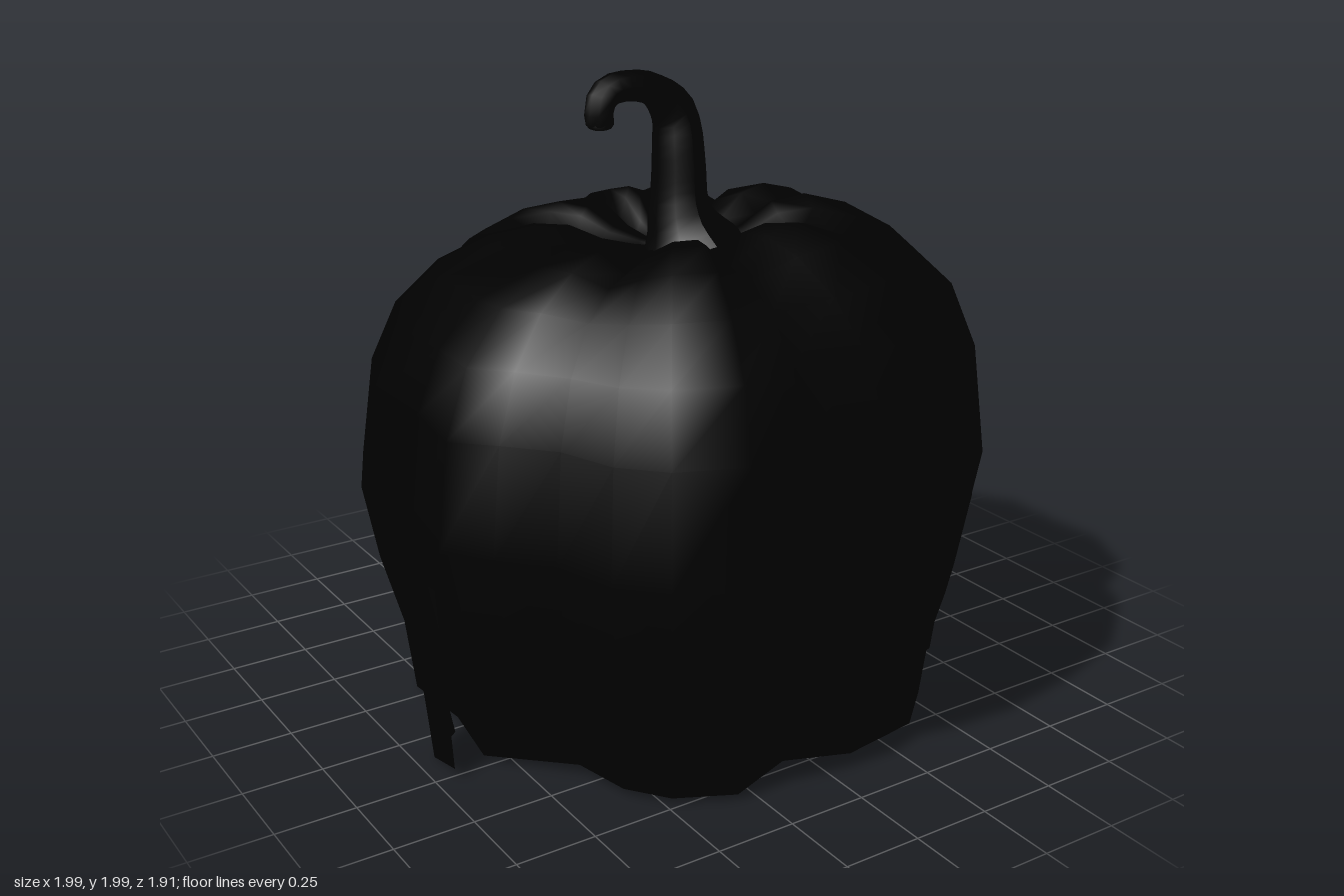
import * as THREE from 'three';

// Ribbed outline at the widest level: x, z, groove depth (1 = valley)
const OUTLINE = [
  [0.05, -0.96, 0], [0.2, -0.93, 0], [0.35, -0.9, 0.3], [0.53, -0.9, 0], [0.65, -0.76, 0.3],
  [0.7, -0.57, 1], [0.82, -0.5, 0.3], [0.97, -0.25, 0], [0.965, 0, 0.6], [0.98, 0.24, 0],
  [0.87, 0.5, 0.2], [0.67, 0.59, 1], [0.6, 0.75, 0.3], [0.43, 0.9, 0], [0.12, 0.95, 0.1],
  [-0.13, 0.89, 1], [-0.36, 0.95, 0], [-0.56, 0.85, 0], [-0.67, 0.72, 0.3], [-0.73, 0.53, 1],
  [-0.85, 0.38, 0.3], [-0.96, 0.26, 0], [-0.93, 0, 0.8], [-0.94, -0.32, 0], [-0.81, -0.6, 0.2],
  [-0.67, -0.65, 1], [-0.55, -0.82, 0.2], [-0.43, -0.9, 0], [-0.18, -0.93, 0.1], [-0.05, -0.91, 0.8],
];

// Lofts scaled copies of the outline; each ring is [height, scale, groove drop, tilt]
function loft(rings) {
  const n = OUTLINE.length, pos = [], index = [];
  for (const [y, s, drop = 0, tilt = 0] of rings) {
    for (const [x, z, g] of OUTLINE) pos.push(x * s, y - drop * g + tilt * s * (x + 0.6 * z), z * s);
  }
  for (let i = 0; i < rings.length - 1; i++) {
    for (let j = 0; j < n; j++) {
      const a = i * n + j, b = i * n + (j + 1) % n;
      index.push(a, a + n, b, b, a + n, b + n);
    }
  }
  const geo = new THREE.BufferGeometry();
  geo.setAttribute('position', new THREE.Float32BufferAttribute(pos, 3));
  geo.setIndex(index);
  geo.computeVertexNormals();
  return geo;
}

// Tapered tube along a curve
function taperedTube(points, radii, segments, sides) {
  const curve = new THREE.CatmullRomCurve3(points.map(p => new THREE.Vector3(...p)));
  const geo = new THREE.TubeGeometry(curve, segments, 1, sides);
  const pos = geo.attributes.position, v = new THREE.Vector3();
  for (let i = 0; i <= segments; i++) {
    const t = i / segments, centre = curve.getPointAt(t);
    const f = t * (radii.length - 1), k = Math.min(Math.floor(f), radii.length - 2);
    const r = THREE.MathUtils.lerp(radii[k], radii[k + 1], f - k);
    for (let j = 0; j <= sides; j++) {
      const id = i * (sides + 1) + j;
      v.fromBufferAttribute(pos, id).sub(centre).multiplyScalar(r).add(centre);
      pos.setXYZ(id, v.x, v.y, v.z);
    }
  }
  geo.computeVertexNormals();
  return geo;
}

// Bent strip joining a bottom edge to a top edge
function strip(bottom, top) {
  const n = bottom.length, index = [];
  for (let i = 0; i < n - 1; i++) index.push(i, i + 1, n + i, i + 1, n + i + 1, n + i);
  const geo = new THREE.BufferGeometry();
  geo.setAttribute('position', new THREE.Float32BufferAttribute([...bottom, ...top].flat(), 3));
  geo.setIndex(index);
  geo.computeVertexNormals();
  return geo;
}

export function createModel() {
  const model = new THREE.Group();
  const black = new THREE.MeshStandardMaterial({ color: 0x000000, side: THREE.DoubleSide });
  black.name = 'black';
  const add = (name, geo) => {
    const mesh = new THREE.Mesh(geo, black);
    mesh.name = name;
    model.add(mesh);
    return mesh;
  };

  // Ribbed shell with a sunken crown, slightly higher on its left front
  add('pumpkinShell', loft([
    [0.03, 0.86, -0.02], [0.27, 0.89, 0], [0.5, 0.955, 0], [0.74, 1, 0], [1.08, 0.955, 0, 0.02],
    [1.28, 0.87, 0.01, 0.03], [1.42, 0.73, 0.03, 0.03], [1.51, 0.57, 0.06, 0.04],
    [1.55, 0.43, 0.09, 0.05], [1.54, 0.32, 0.09, 0.05], [1.48, 0.22, 0.05, 0.03],
    [1.45, 0.12, 0.02], [1.44, 0],
  ]));

  // Recessed underside
  add('underside', loft([[0.18, 0], [0.18, 0.5], [0.16, 0.87]]));

  // Hooked stem with flared foot
  add('stem', taperedTube(
    [[0.05, 1.42, 0.03], [0.02, 1.55, 0.01], [0.02, 1.72, 0], [0.01, 1.85, -0.01],
      [-0.06, 1.925, -0.01], [-0.14, 1.95, -0.01], [-0.22, 1.94, -0.01], [-0.26, 1.9, 0], [-0.258, 1.845, 0]],
    [0.18, 0.115, 0.09, 0.085, 0.08, 0.07, 0.05, 0.047, 0.047, 0.042], 24, 9));
  const tip = add('stemTip', new THREE.SphereGeometry(0.042, 9, 6));
  tip.scale.y = 0.4;
  tip.position.set(-0.258, 1.845, 0);

  // Ragged flaps hanging off both sides
  add('leftFlapFront', strip(
    [[0.83, 0.03, 0.14], [0.99, 0.05, 0.06]],
    [[0.93, 0.42, 0.17], [0.95, 0.5, 0.14]]));
  add('leftFlapRear', strip(
    [[0.93, 0.04, -0.1], [0.94, 0.05, -0.18]],
    [[0.94, 0.45, -0.08], [0.94, 0.48, -0.2]]));
  add('leftFlapCorner', strip(
    [[0.85, 0.06, 0.28], [0.97, 0.05, 0.2]],
    [[0.92, 0.4, 0.26], [0.95, 0.5, 0.21]]));
  add('rightFlap', strip(
    [[-0.82, 0.01, 0.02], [-0.94, 0.01, 0.12], [-0.94, 0.04, 0.26]],
    [[-0.93, 0.55, 0.03], [-0.995, 0.63, 0.09], [-0.95, 0.6, 0.2]]));

  return model;
}
